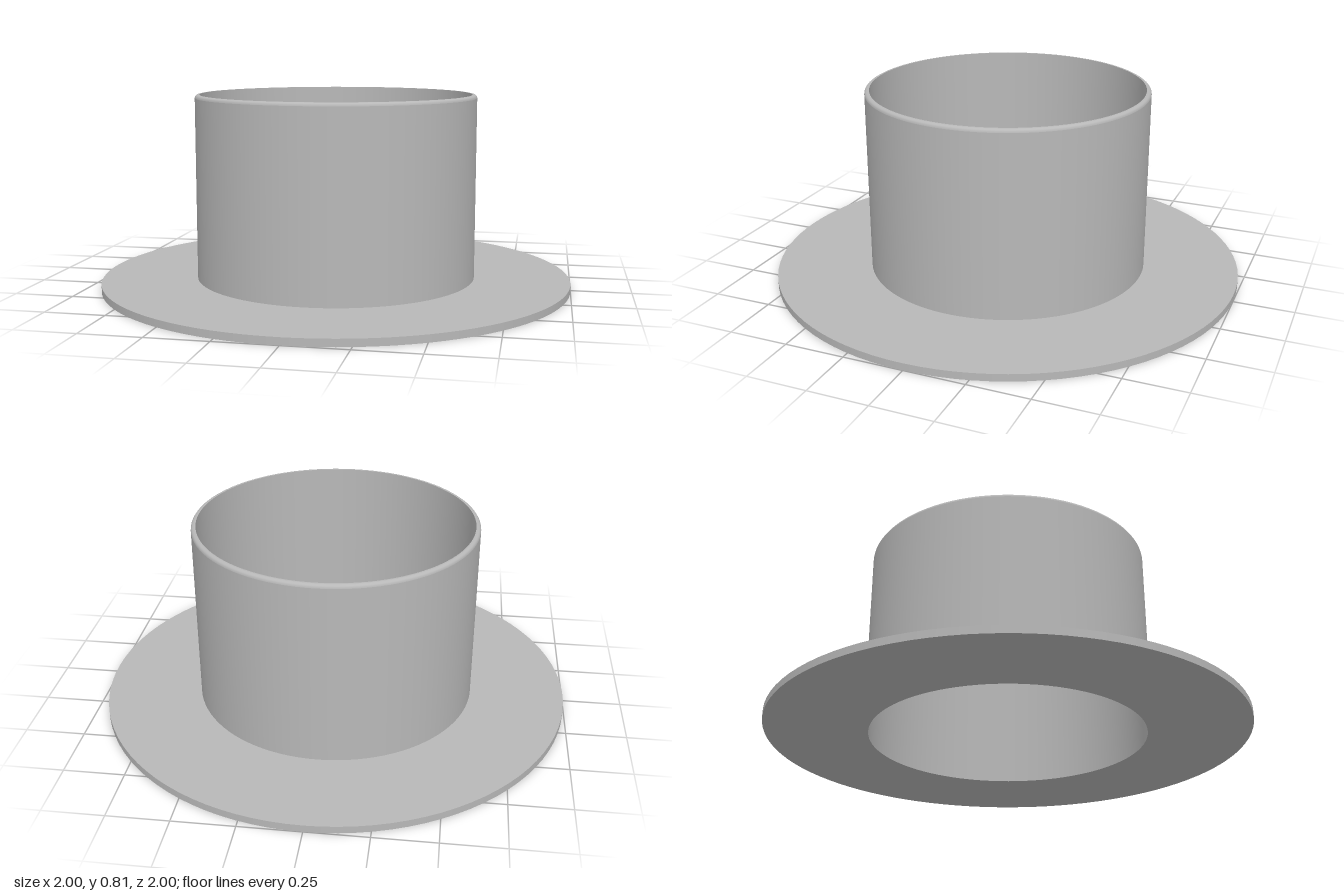
import * as THREE from 'three';
import { mergeGeometries } from 'three/addons/utils/BufferGeometryUtils.js';

const SEGMENTS = 96;

// Revolve each profile run separately, so edges between runs stay sharp
function revolve(runs) {
  return mergeGeometries(runs.map((run) =>
    new THREE.LatheGeometry(run.map(([r, y]) => new THREE.Vector2(r, y)), SEGMENTS)));
}

export function createModel() {
  const model = new THREE.Group();
  model.name = 'flangedSleeve';
  const metal = new THREE.MeshStandardMaterial({ color: 0xb8b8b8 });
  metal.name = 'grey metal';

  const bore = 0.577, wall = 0.597, rim = 1;
  const plate = 0.03, top = 0.812, round = 0.014;

  // Flat ring at the base
  const flange = new THREE.Mesh(revolve([
    [[bore, 0], [rim, 0]],
    [[rim, 0], [rim, plate]],
    [[rim, plate], [wall, plate]],
  ]), metal);
  flange.name = 'flange';

  // Open tube with a rounded outer lip
  const lip = [];
  for (let i = 0; i <= 4; i++) {
    const a = (i / 4) * Math.PI / 2;
    lip.push([wall - round + round * Math.cos(a), top - round + round * Math.sin(a)]);
  }
  const tube = new THREE.Mesh(revolve([
    [[wall, plate], [wall, top - round]],
    lip,
    [[wall - round, top], [bore, top]],
    [[bore, top], [bore, 0]],
  ]), metal);
  tube.name = 'tube';

  model.add(flange, tube);
  return model;
}
